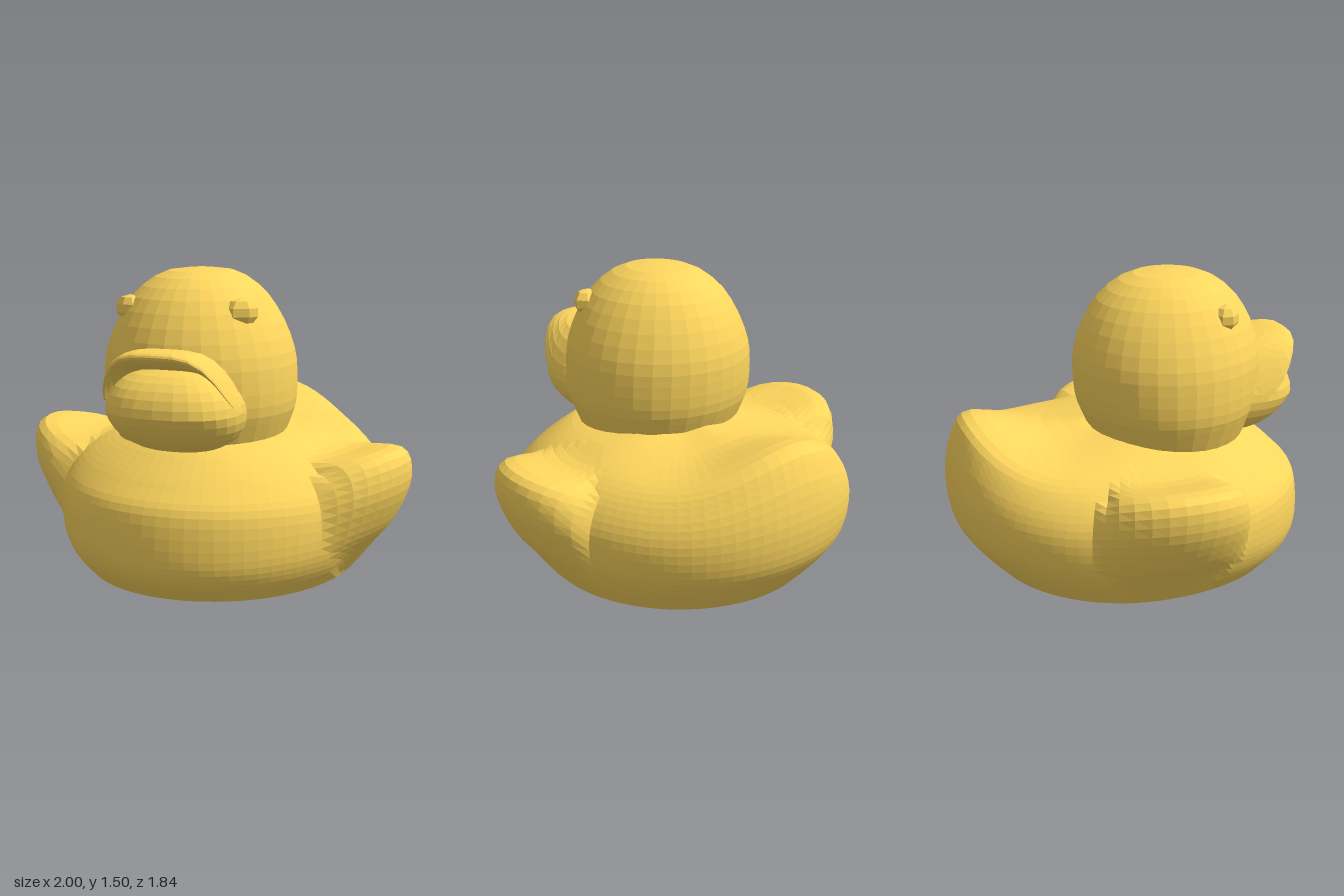
import * as THREE from 'three';

const yellow = new THREE.MeshStandardMaterial({ color: 0xffd75e, flatShading: true, side: THREE.DoubleSide });

function part(name, geometry) {
  const mesh = new THREE.Mesh(geometry, yellow);
  mesh.name = name;
  return mesh;
}

// Applies a rule to every vertex
function warp(g, rule) {
  const p = g.attributes.position, v = new THREE.Vector3();
  for (let i = 0; i < p.count; i++) {
    rule(v.fromBufferAttribute(p, i));
    p.setXYZ(i, v.x, v.y, v.z);
  }
  return g;
}

// Ellipsoid around its own centre, with a rule applied to the unit sphere first
function blob(name, center, radii, rule, w = 28, h = 16) {
  const g = warp(new THREE.SphereGeometry(1, w, h), rule).scale(...radii);
  g.computeVertexNormals();
  const mesh = part(name, g);
  mesh.position.set(...center);
  return mesh;
}

// Squares off an ellipsoid seen from above
function boxy(v) {
  v.x = Math.sign(v.x) * Math.abs(v.x) ** 0.8;
  v.z = Math.sign(v.z) * Math.abs(v.z) ** 0.8;
}

const smoothProfile = (points, n) =>
  new THREE.SplineCurve(points.map(([r, y]) => new THREE.Vector2(r, y))).getPoints(n);

// Hollow body, open below: front, side, tail and wing profiles blended around the axis
function bodyGeometry() {
  const rings = 28, sides = 84;
  const front = smoothProfile([[0.8, 0], [0.89, 0.1], [0.92, 0.22], [0.9, 0.42], [0.82, 0.52], [0.72, 0.61], [0.62, 0.68], [0.5, 0.7]], rings);
  const side = smoothProfile([[0.67, 0], [0.76, 0.12], [0.81, 0.25], [0.81, 0.41], [0.74, 0.54], [0.62, 0.63], [0.46, 0.69], [0.3, 0.73]], rings);
  const tail = smoothProfile([[0.68, 0], [0.8, 0.13], [0.89, 0.27], [0.92, 0.48], [0.88, 0.7], [0.78, 0.81], [0.42, 0.735], [0.05, 0.76]], rings);
  const wing = smoothProfile([[0.67, 0], [0.8, 0.16], [0.91, 0.3], [0.99, 0.5], [0.94, 0.65], [0.66, 0.625], [0.46, 0.69], [0.3, 0.73]], rings);
  const pos = [], index = [];
  for (let i = 0; i <= rings; i++) {
    // wing outline narrows towards its lower and upper edges
    const wingHalf = 0.46 * Math.sqrt(Math.max(0.01, 1 - ((i / rings - 0.43) / 0.43) ** 2));
    for (let j = 0; j < sides; j++) {
      const a = (j / sides) * Math.PI * 2, c = Math.cos(a), s = Math.sin(a);
      const end = c > 0 ? front[i] : tail[i];
      const p = side[i].clone();
      p.x += (end.x - p.x) * c * c;
      p.y += (end.y - p.y) * (c > 0 ? c ** 2 : c ** 8); // tail crest is narrow
      const t = (Math.asin(c) - (s > 0 ? 0.18 : 0.05)) / wingHalf;
      p.lerp(wing[i], (s > 0 ? 0.96 : 1.25) * Math.max(0, 1 - t * t) ** 0.65);
      pos.push(p.x * s, p.y, p.x * c);
      if (i < rings) {
        const k = i * sides, n = (j + 1) % sides;
        index.push(k + j, k + n, k + sides + j, k + n, k + sides + n, k + sides + j);
      }
    }
  }
  const g = new THREE.BufferGeometry();
  g.setAttribute('position', new THREE.Float32BufferAttribute(pos, 3));
  g.setIndex(index);
  g.computeVertexNormals();
  return g;
}

export function createModel() {
  const root = new THREE.Group();
  root.name = 'toyDuck';
  const duck = new THREE.Group();
  duck.name = 'duck';
  duck.rotation.y = -0.13; // the bird is turned a little to one side
  root.add(duck);

  const body = part('bodyWithWings', bodyGeometry());
  body.position.x = 0.04;
  duck.add(body);

  // Head, open into the body at the neck, broader at the cheeks
  const headProfile = smoothProfile([[0.39, 0.67], [0.425, 0.75], [0.46, 0.84], [0.475, 0.97], [0.47, 1.1],
    [0.42, 1.25], [0.33, 1.385], [0.19, 1.475], [0, 1.495]], 18);
  headProfile.forEach((p) => { p.x = Math.max(p.x, 0); });
  const headShape = warp(new THREE.LatheGeometry(headProfile, 32), (v) => { v.x *= 1 + 0.18 * (0.99 - v.y); });
  const head = part('head', headShape);
  head.position.set(-0.015, 0, 0.215);
  duck.add(head);

  // Bill: broad arched upper lip flaring upward, full lower half close beneath it
  duck.add(blob('upperBill', [0.01, 1.09, 0.62], [0.33, 0.05, 0.25], (v) => {
    boxy(v);
    v.y += 0.9 * v.z - 4.4 * v.x ** 4;
  }));
  duck.add(blob('lowerBill', [0.01, 0.855, 0.57], [0.33, 0.215, 0.3], (v) => {
    boxy(v);
    v.z += 0.3 * Math.min(v.y, 0); // chin recedes
  }));

  // Eyes: small rough lumps
  for (const [s, label] of [[1, 'left'], [-1, 'right']]) {
    const eye = blob(label + 'Eye', [s * 0.285 - 0.01, 1.305, 0.43], [0.08, 0.065, 0.06], boxy, 7, 5);
    eye.rotation.y = s * 0.6;
    duck.add(eye);
  }
  return root;
}
